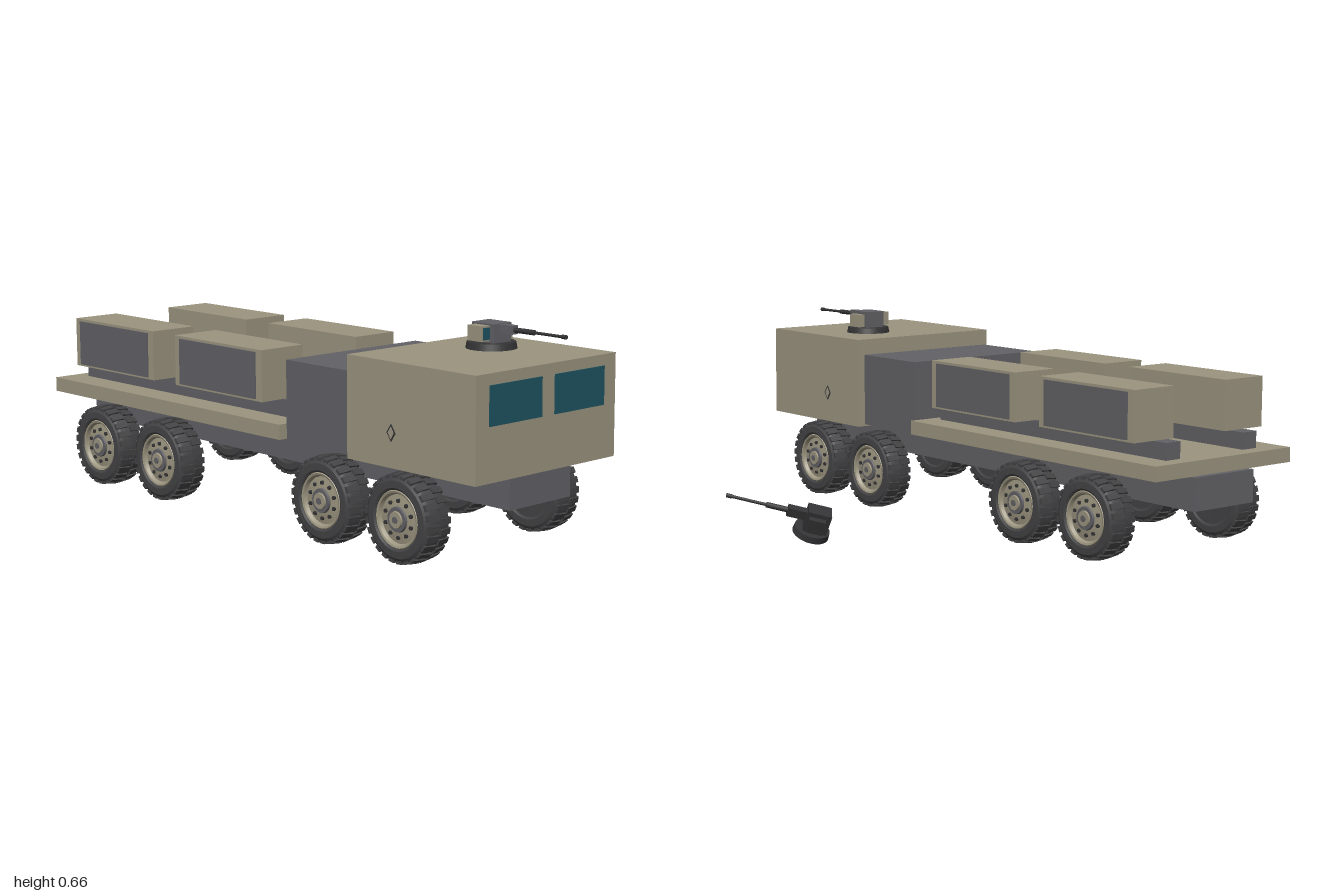
import * as THREE from 'three';
import { mergeGeometries, toCreasedNormals } from 'three/addons/utils/BufferGeometryUtils.js';

const mat = (name, color) => {
  const m = new THREE.MeshStandardMaterial({ color });
  m.name = name;
  return m;
};

export function createModel() {
  const tan = mat('tan', 0x9b947f);
  const grey = mat('grey', 0x626166);
  const rubber = mat('rubber', 0x434345);
  const charcoal = mat('charcoal', 0x353537);
  const glass = mat('glass', 0x1f5360);

  const add = (parent, name, geometry, material, x = 0, y = 0, z = 0) => {
    const mesh = new THREE.Mesh(geometry, material);
    mesh.name = name;
    mesh.position.set(x, y, z);
    parent.add(mesh);
    return mesh;
  };
  // Box centred on x, given by its y and z limits
  const block = (parent, name, material, x, width, y0, y1, z0, z1) =>
    add(parent, name, new THREE.BoxGeometry(width, y1 - y0, z1 - z0), material, x, (y0 + y1) / 2, (z0 + z1) / 2);
  const lathe = (points, segments = 40) =>
    toCreasedNormals(new THREE.LatheGeometry(points.map(p => new THREE.Vector2(...p)), segments), 0.5);
  // Tapered rod along z
  const rod = (parent, name, material, radius, y, z0, z1, x = 0) => {
    const g = new THREE.CylinderGeometry(radius, radius, z1 - z0, 12).rotateX(Math.PI / 2);
    return add(parent, name, g, material, x, y, (z0 + z1) / 2);
  };

  const model = new THREE.Group();
  model.name = 'missileTruck';
  const truck = new THREE.Group();
  truck.name = 'truck';
  truck.position.x = -0.367;
  model.add(truck);

  // Body
  block(truck, 'chassis', grey, 0, 0.256, 0.176, 0.28, -1, 0.972);
  block(truck, 'cab', tan, 0, 0.587, 0.275, 0.583, 0.48, 0.996);
  block(truck, 'engineHousing', grey, 0, 0.545, 0.284, 0.53, 0.187, 0.47);
  block(truck, 'deck', tan, 0, 0.587, 0.285, 0.332, -1, 0.177);

  // Parts mirrored on both sides
  const diamond = (rx, ry) => {
    const s = new THREE.Shape();
    s.moveTo(rx, 0);
    s.lineTo(0, ry);
    s.lineTo(-rx, 0);
    s.lineTo(0, -ry);
    return new THREE.ExtrudeGeometry(s, { depth: 0.002, bevelEnabled: false });
  };
  for (const side of [-1, 1]) {
    block(truck, 'windscreen', glass, side * 0.134, 0.213, 0.435, 0.55, 0.994, 1);
    block(truck, 'deckRail', grey, side * 0.167, 0.06, 0.332, 0.386, -0.945, 0.137);
    for (const z of [-0.677, -0.134]) {
      block(truck, 'launcherBox', tan, side * 0.196, 0.166, 0.386, 0.547, z - 0.214, z + 0.214);
      block(truck, 'launcherPanel', grey, side * 0.281, 0.008, 0.393, 0.539, z - 0.186, z + 0.186);
    }
    [[0.018, 0.026, charcoal, 0.2932], [0.012, 0.019, tan, 0.2945]].forEach(([rx, ry, m, x]) => {
      add(truck, 'sidePlate', diamond(rx, ry), m, side * x, 0.378, 0.665).rotation.y = side * Math.PI / 2;
    });
  }

  // Wheel geometries, axis along y with the outer face at +y
  const tyre = lathe([[0, -0.044], [0.085, -0.044], [0.092, -0.048], [0.113, -0.047], [0.124, -0.04], [0.128, -0.03],
    [0.128, 0.03], [0.124, 0.04], [0.113, 0.047], [0.092, 0.048], [0.086, 0.044], [0.085, 0.024]], 48);
  const rim = lathe([[0.086, 0.04], [0.083, 0.045], [0.077, 0.043], [0.072, 0.032], [0.058, 0.034], [0.038, 0.038], [0, 0.038]]);
  const ring = (count, make) => mergeGeometries(Array.from({ length: count }, (_, i) =>
    make(i).rotateY(i / count * Math.PI * 2)));
  const treads = mergeGeometries([-1, 1].map(row => {
    const g = ring(26, () => {
      const lug = new THREE.BoxGeometry(0.009, 0.042, 0.019).translate(0.13, row * 0.0235, 0);
      // Pull the outer end of each lug in to follow the shoulder
      const p = lug.attributes.position;
      for (let i = 0; i < p.count; i++) {
        if (row * p.getY(i) > 0.03) p.setX(i, p.getX(i) - 0.005);
      }
      return lug;
    });
    g.rotateY(row * Math.PI / 52);
    return g;
  }));
  treads.computeVertexNormals();
  const bolts = ring(10, () => new THREE.CylinderGeometry(0.006, 0.006, 0.007, 8).translate(0.054, 0.037, 0));
  const hub = new THREE.CylinderGeometry(0.036, 0.039, 0.012, 24);
  const cap = new THREE.CylinderGeometry(0.024, 0.026, 0.008, 20);
  const pin = new THREE.CylinderGeometry(0.01, 0.01, 0.006, 12);

  for (const side of [-1, 1]) {
    for (const z of [0.713, 0.39, -0.397, -0.723]) {
      const wheel = new THREE.Group();
      wheel.name = 'wheel';
      wheel.position.set(side * 0.275, 0.137, z);
      wheel.rotation.z = -side * Math.PI / 2;
      truck.add(wheel);
      add(wheel, 'tyre', tyre, rubber);
      add(wheel, 'treadLugs', treads, rubber);
      add(wheel, 'rim', rim, tan);
      add(wheel, 'rimBolts', bolts, charcoal);
      add(wheel, 'hub', hub, grey, 0, 0.039);
      add(wheel, 'hubCap', cap, tan, 0, 0.046);
      add(wheel, 'hubPin', pin, grey, 0, 0.05);
    }
  }

  // Roof turret, facing forward
  const turret = new THREE.Group();
  turret.name = 'roofTurret';
  turret.position.set(0.097, 0.583, 0.685);
  truck.add(turret);
  add(turret, 'turretBase', new THREE.CylinderGeometry(0.073, 0.077, 0.02, 32), charcoal, 0, 0.01);
  block(turret, 'turretBody', grey, 0, 0.074, 0.018, 0.077, -0.045, 0.045);
  block(turret, 'sightHousing', tan, -0.053, 0.034, 0.026, 0.072, -0.03, 0.028);
  block(turret, 'sightLens', glass, -0.053, 0.026, 0.031, 0.067, 0.026, 0.031);
  block(turret, 'ammoBox', tan, 0.048, 0.026, 0.022, 0.067, -0.028, 0.028);
  block(turret, 'gunMount', grey, 0, 0.024, 0.049, 0.075, 0.04, 0.094);
  rod(turret, 'barrelSleeve', charcoal, 0.008, 0.062, 0.09, 0.17);
  rod(turret, 'barrel', charcoal, 0.0045, 0.062, 0.16, 0.288);
  rod(turret, 'muzzle', charcoal, 0.0065, 0.062, 0.276, 0.292);

  // Loose turret lying beside the truck, tilted with its barrel raised
  const loose = new THREE.Group();
  loose.name = 'looseTurret';
  const aim = new THREE.Vector3(0.85, 0.265, 0.455).normalize();
  const across = new THREE.Vector3(-0.06, 0.89, -0.45).cross(aim).normalize();
  const up = aim.clone().cross(across);
  loose.quaternion.setFromRotationMatrix(new THREE.Matrix4().makeBasis(across, up, aim));
  loose.position.set(0.446, 0.04, 0.029);
  model.add(loose);
  add(loose, 'looseBase', new THREE.CylinderGeometry(0.058, 0.06, 0.022, 32), charcoal);
  block(loose, 'looseBody', charcoal, 0, 0.06, 0.01, 0.082, -0.045, 0.032);
  for (const side of [-1, 1]) {
    block(loose, 'looseSideBox', charcoal, side * 0.04, 0.022, 0.02, 0.068, -0.028, 0.026);
  }
  block(loose, 'looseGunMount', charcoal, 0, 0.028, 0.04, 0.07, 0.03, 0.095);
  rod(loose, 'looseBarrelSleeve', charcoal, 0.009, 0.056, 0.09, 0.165);
  rod(loose, 'looseBarrel', charcoal, 0.005, 0.056, 0.16, 0.292);
  rod(loose, 'looseMuzzle', charcoal, 0.007, 0.056, 0.278, 0.296);

  return model;
}
